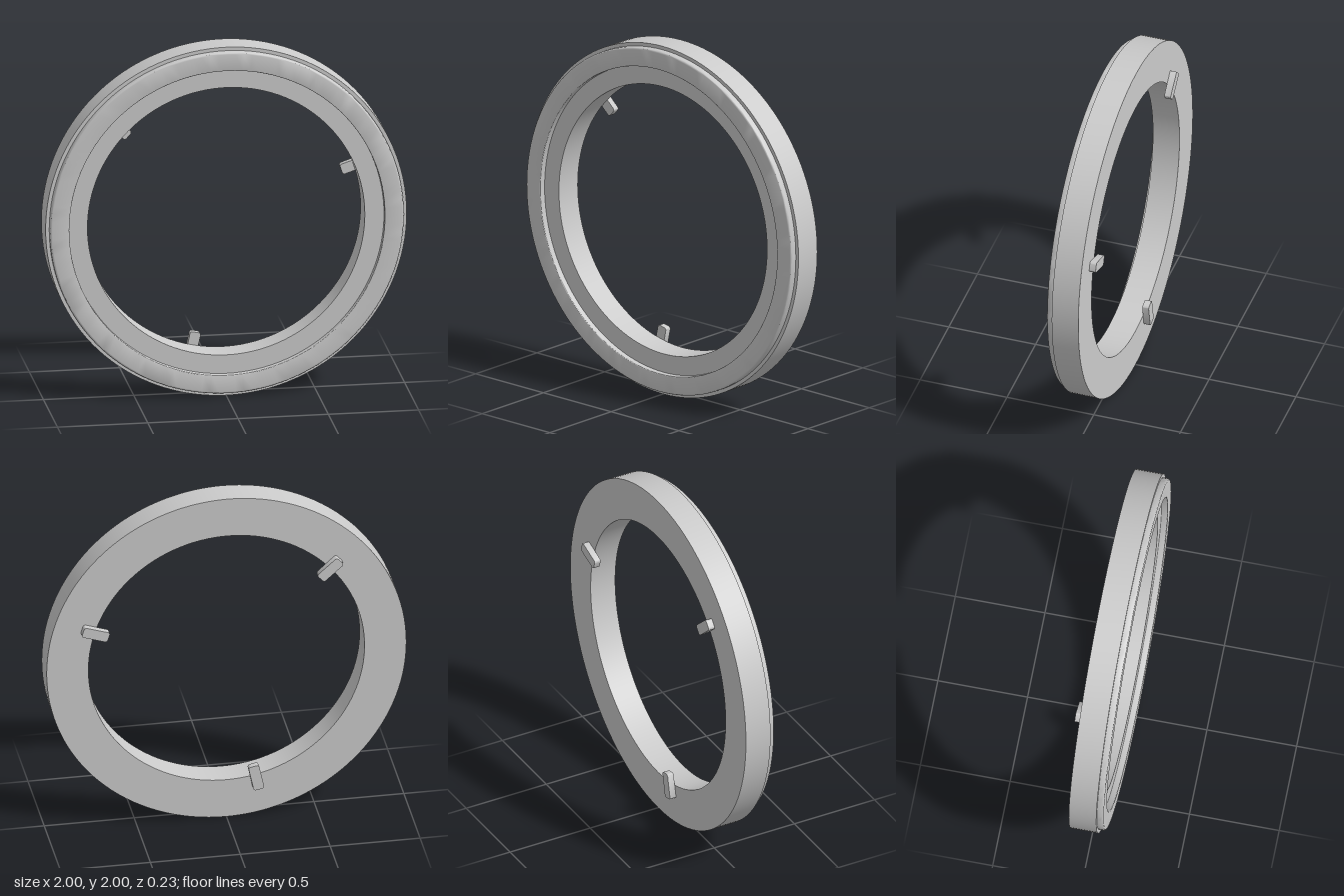
import * as THREE from 'three';
import { toCreasedNormals } from 'three/addons/utils/BufferGeometryUtils.js';

const material = new THREE.MeshStandardMaterial({ color: 0xcccccc });
const BACK = -0.076, STEP = 0.077, FRONT = 0.113;

// Points of a quarter-round corner from angle a to a + 90 degrees
function fillet(cx, cy, r, a, n = 4) {
  return Array.from({ length: n + 1 }, (_, i) => {
    const t = a + (i / n) * Math.PI / 2;
    return new THREE.Vector2(cx + r * Math.cos(t), cy + r * Math.sin(t));
  });
}

// Ring cross-section (radius, depth) turned about the z axis
function ringGeometry() {
  const P = (r, z) => new THREE.Vector2(r, z);
  const f = 0.012, c = 0.004;
  const profile = [
    P(0.768, BACK), P(1, BACK), P(1, STEP), P(0.98, STEP),
    ...fillet(0.98 - f, FRONT - f, f, 0),
    ...fillet(0.874 + c, FRONT - c, c, Math.PI / 2, 3),
    P(0.874, STEP), P(0.768, STEP), P(0.768, BACK),
  ];
  const g = new THREE.LatheGeometry(profile, 128);
  g.rotateX(Math.PI / 2);
  return toCreasedNormals(g, 0.6);
}

// Small bar with rounded corners, lying along the radius behind the ring
function tabGeometry() {
  const r0 = 0.695, r1 = 0.845, h = 0.03, f = 0.013;
  const outline = [
    ...fillet(r1 - f, h - f, f, 0),
    ...fillet(r0 + f, h - f, f, Math.PI / 2),
    ...fillet(r0 + f, -h + f, f, Math.PI),
    ...fillet(r1 - f, -h + f, f, Math.PI * 1.5),
  ];
  const g = new THREE.ExtrudeGeometry(new THREE.Shape(outline), { depth: BACK + FRONT, bevelEnabled: false });
  g.translate(0, 0, -FRONT);
  return toCreasedNormals(g, 0.6);
}

export function createModel() {
  const model = new THREE.Group();
  model.name = 'ringWithTabs';

  const ring = new THREE.Mesh(ringGeometry(), material);
  ring.name = 'ring';
  ring.position.y = 1;
  model.add(ring);

  // Three retaining tabs, evenly spaced
  const tab = tabGeometry();
  [18, 138, 258].forEach((deg, i) => {
    const mesh = new THREE.Mesh(tab, material);
    mesh.name = `retainingTab${i + 1}`;
    mesh.position.y = 1;
    mesh.rotation.z = THREE.MathUtils.degToRad(deg);
    model.add(mesh);
  });
  return model;
}
